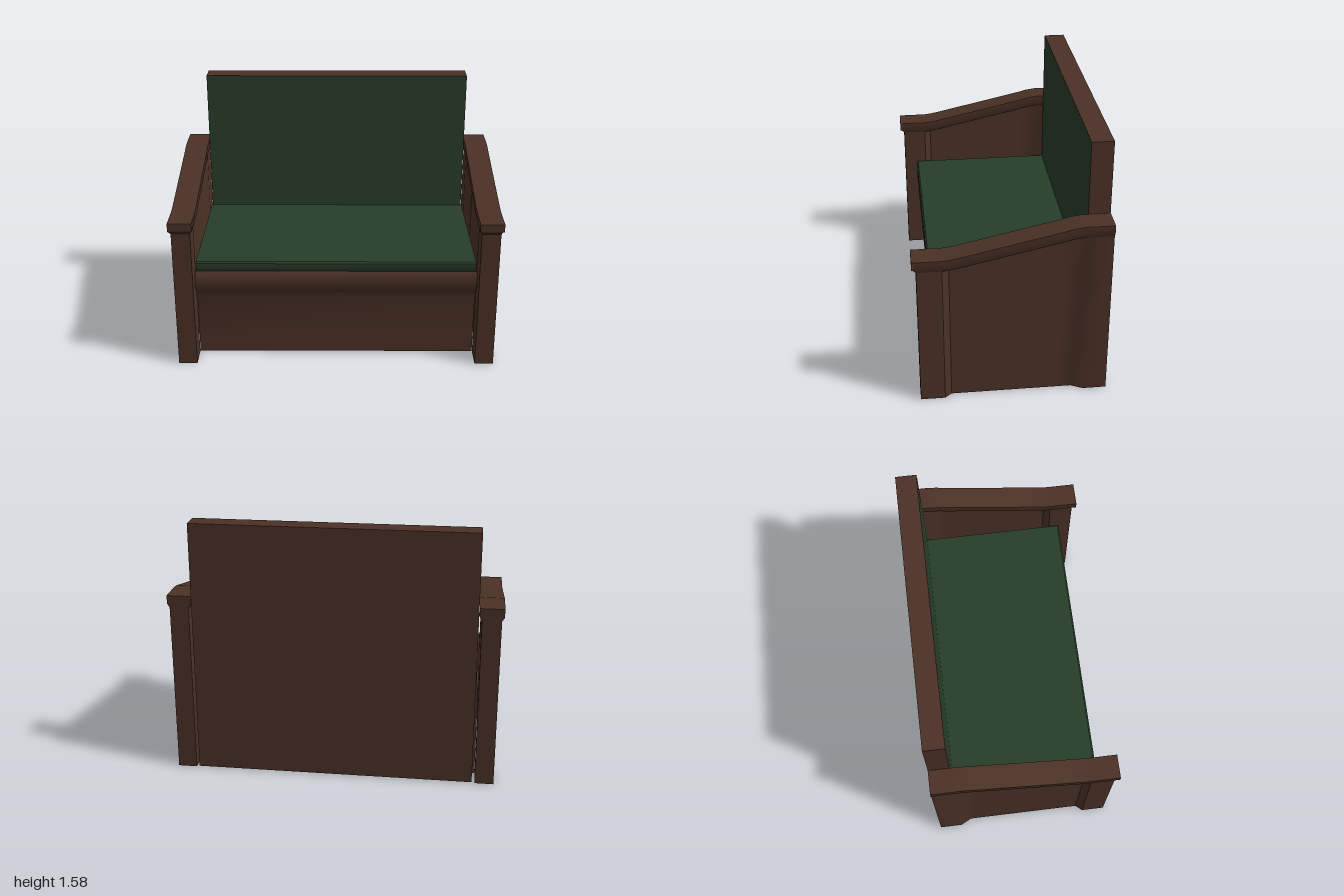
import * as THREE from 'three';
import { toCreasedNormals } from 'three/addons/utils/BufferGeometryUtils.js';

// Skin closed convex sections, listed front to back, each counter-clockwise seen from +z.
function loft(sections) {
  const n = sections[0].length, index = [];
  for (let s = 0; s < sections.length - 1; s++) {
    for (let j = 0; j < n; j++) {
      const a = s * n + j, b = s * n + (j + 1) % n;
      index.push(a, b + n, b, a, a + n, b + n);
    }
  }
  const last = (sections.length - 1) * n;
  for (let j = 1; j < n - 1; j++) {
    index.push(0, j, j + 1, last, last + j + 1, last + j);
  }
  const geometry = new THREE.BufferGeometry();
  geometry.setAttribute('position', new THREE.Float32BufferAttribute(sections.flat(2), 3));
  geometry.setIndex(index);
  return toCreasedNormals(geometry, 0.7);
}

// Mirror sections to the other side while keeping faces outward.
const mirrored = (sections, side) => side > 0 ? sections
  : sections.map(s => s.map(([x, y, z]) => [-x, y, z]).reverse());

// Extrude a [z, y] profile across the width, centred on x = 0.
function acrossWidth(profile, width) {
  const shape = new THREE.Shape(profile.map(([z, y]) => new THREE.Vector2(z, y)));
  const geometry = new THREE.ExtrudeGeometry(shape, { depth: width, bevelEnabled: false });
  geometry.translate(0, 0, -width / 2).rotateY(-Math.PI / 2);
  return toCreasedNormals(geometry, 0.7);
}

// Top line of the armrest as [z, y], front to back.
const armTop = [[0.57, 0.965], [0.545, 0.965], [0.4, 0.965], [0.35, 0.97], [0.3, 0.98],
  [-0.28, 1.108], [-0.34, 1.124], [-0.4, 1.132], [-0.57, 1.132]];

function topAt(z) {
  for (let i = 1; i < armTop.length; i++) {
    const [z0, y0] = armTop[i - 1], [z1, y1] = armTop[i];
    if (z >= z1) return THREE.MathUtils.mapLinear(z, z0, z1, y0, y1);
  }
  return 1.132;
}

export function createModel() {
  const wood = new THREE.MeshStandardMaterial({ color: 0x4b3126 });
  wood.name = 'dark brown wood';
  const fabric = new THREE.MeshStandardMaterial({ color: 0x283d2a });
  fabric.name = 'dark green fabric';

  const model = new THREE.Group();
  model.name = 'bench';
  const add = (name, geometry, material, parent = model) => {
    const mesh = new THREE.Mesh(geometry, material);
    mesh.name = name;
    parent.add(mesh);
    return mesh;
  };

  // Arm side: front and back posts with a recessed panel between, as [z, inset]
  const armPlan = [[0.545, 0], [0.4, 0], [0.36, 0.035], [0.3, 0.035],
    [-0.28, 0.035], [-0.36, 0.035], [-0.43, 0], [-0.57, 0]];
  const bodySections = armPlan.map(([z, inset]) => {
    const top = topAt(z) - 0.04, inner = 0.87 + inset, outer = 0.985 - inset;
    return [[inner, 0, z], [outer, 0, z], [outer, top, z], [inner, top, z]];
  });

  // Armrest: flat top, short sides and a chamfered underside
  const railSections = armTop.map(([z, y], i) => {
    const under = y - (i === 0 ? 0.052 : 0.075);
    return [[0.87, under, z], [0.985, under, z], [1, y - 0.05, z],
      [1, y, z], [0.855, y, z], [0.855, y - 0.05, z]];
  });

  for (const side of [1, -1]) {
    const arm = new THREE.Group();
    arm.name = side > 0 ? 'leftArm' : 'rightArm';
    model.add(arm);
    add('armSide', loft(mirrored(bodySections, side)), wood, arm);
    add('armRest', loft(mirrored(railSections, side)), wood, arm);
  }

  // Seat base with a rounded lip above a recessed front
  add('seatBase', acrossWidth([[-0.45, 0.005], [0.4, 0.005], [0.4, 0.4], [0.41, 0.43],
    [0.445, 0.46], [0.46, 0.49], [0.465, 0.53], [0.462, 0.57], [0.445, 0.595], [-0.45, 0.595]],
  1.735), wood);

  // Seat cushion
  add('seatCushion', acrossWidth([[-0.445, 0.595], [0.445, 0.595], [0.46, 0.61], [0.465, 0.63],
    [0.465, 0.655], [0.455, 0.665], [-0.445, 0.665]], 1.715), fabric);

  // Backrest board and its upholstered front
  const back = add('backBoard', new THREE.BoxGeometry(1.705, 1.575, 0.128), wood);
  back.position.set(0, 0.7925, -0.506);
  const pad = add('backUpholstery', new THREE.PlaneGeometry(1.705, 0.92), fabric);
  pad.position.set(0, 1.12, -0.44);

  return model;
}
